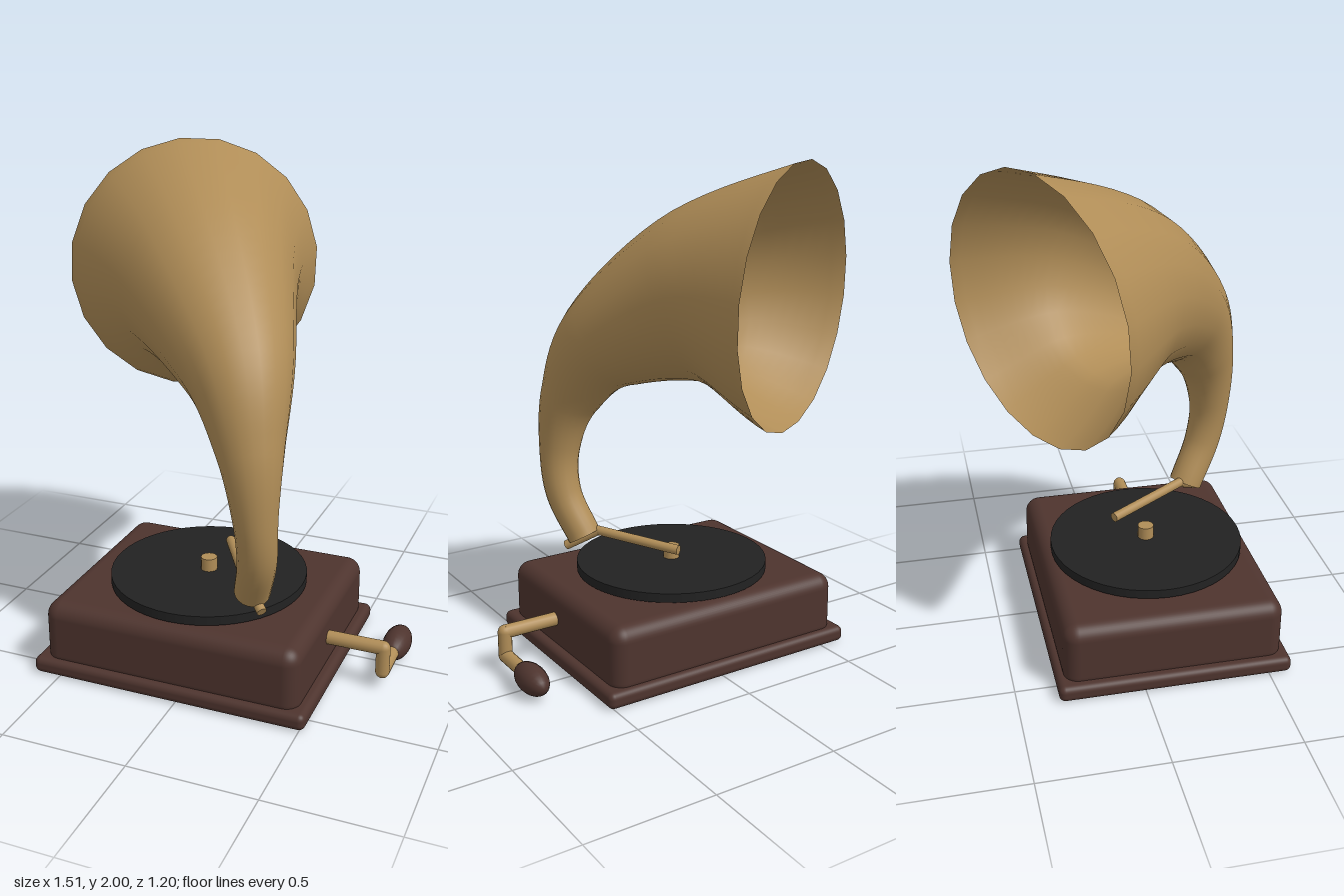
import * as THREE from 'three';
import { RoundedBoxGeometry } from 'three/addons/geometries/RoundedBoxGeometry.js';

const V = (x, y, z) => new THREE.Vector3(x, y, z);

function makeMaterial(name, color, side = THREE.FrontSide) {
  const m = new THREE.MeshStandardMaterial({ color, side });
  m.name = name;
  return m;
}

// Flared horn: round sections swept along a bending path, open at both ends
function hornGeometry() {
  // x, y, z, radius; the last point only steers the direction of the mouth
  const stations = [
    [0.235, 0.42, 0.37, 0.07],
    [0.285, 0.6, 0.455, 0.075],
    [0.285, 0.8, 0.48, 0.087],
    [0.247, 1.03, 0.435, 0.13],
    [0.145, 1.27, 0.29, 0.215],
    [-0.09, 1.465, -0.02, 0.355],
    [-0.3, 1.485, -0.355, 0.517],
    [-0.46, 1.43, -0.69, 0.62],
  ];
  const path = new THREE.CatmullRomCurve3(stations.map(([x, y, z]) => V(x, y, z)), false, 'catmullrom', 0.5);
  const radii = new THREE.CatmullRomCurve3(stations.map((s) => V(s[3], 0, 0)), false, 'catmullrom', 0.5);
  const rings = 48, sides = 20, end = (stations.length - 2) / (stations.length - 1);
  const positions = [], index = [];
  // Sideways axis stays level; its heading follows the sweep of the horn
  for (let i = 0; i <= rings; i++) {
    const f = i / rings, t = f * end;
    const p = path.getPoint(t), r = radii.getPoint(t).x, dir = path.getTangent(t);
    const yaw = 0.62 - 0.145 * f * f;
    const side = V(-Math.cos(yaw), 0, Math.sin(yaw));
    side.addScaledVector(dir, -side.dot(dir)).normalize();
    const up = V(0, 0, 0).crossVectors(side, dir).normalize();
    for (let j = 0; j < sides; j++) {
      const a = ((j + 0.35) / sides) * Math.PI * 2;
      const q = p.clone().addScaledVector(side, Math.cos(a) * r).addScaledVector(up, Math.sin(a) * r);
      positions.push(q.x, q.y, q.z);
      if (i < rings) {
        const k = (j + 1) % sides, b = i * sides, c = b + sides;
        index.push(b + j, b + k, c + j, b + k, c + k, c + j);
      }
    }
  }
  const g = new THREE.BufferGeometry();
  g.setAttribute('position', new THREE.Float32BufferAttribute(positions, 3));
  g.setIndex(index);
  g.computeVertexNormals();
  return g;
}

export function createModel() {
  const model = new THREE.Group();
  model.name = 'hornRecordPlayer';
  const wood = makeMaterial('darkWood', 0x4e342e);
  const brass = makeMaterial('brass', 0xb08d57, THREE.DoubleSide);
  const black = makeMaterial('recordBlack', 0x222222);

  const add = (name, geometry, material, pos = V(0, 0, 0), parent = model) => {
    const mesh = new THREE.Mesh(geometry, material);
    mesh.name = name;
    mesh.position.copy(pos);
    parent.add(mesh);
    return mesh;
  };
  // Round bar between two points
  const rod = (name, a, b, r, parent) => {
    const d = b.clone().sub(a);
    const mesh = add(name, new THREE.CylinderGeometry(r, r, d.length(), 16), brass, a.clone().lerp(b, 0.5), parent);
    mesh.quaternion.setFromUnitVectors(V(0, 1, 0), d.normalize());
  };
  // Chain of bars with rounded joints
  const bentRod = (name, points, r) => {
    const group = new THREE.Group();
    group.name = name;
    model.add(group);
    for (let i = 0; i < points.length - 1; i++) {
      rod(name + 'Bar', points[i], points[i + 1], r, group);
      if (i > 0) add(name + 'Joint', new THREE.SphereGeometry(r, 16, 12), brass, points[i], group);
    }
  };

  // Wooden case
  const cx = -0.045, cz = 0.125;
  add('plinth', new RoundedBoxGeometry(1.13, 0.066, 0.93, 4, 0.025), wood, V(cx, 0.033, cz));
  add('case', new RoundedBoxGeometry(1.055, 0.28, 0.875, 5, 0.06), wood, V(cx, 0.16, cz));

  // Turntable
  add('turntableHub', new THREE.CylinderGeometry(0.1, 0.1, 0.03, 24), black, V(cx, 0.305, cz));
  add('record', new THREE.CylinderGeometry(0.397, 0.397, 0.037, 48), black, V(cx, 0.3285, cz));
  add('spindle', new THREE.CylinderGeometry(0.033, 0.033, 0.06, 16), brass, V(cx, 0.37, cz));

  // Horn and tone arm
  add('horn', hornGeometry(), brass);
  bentRod('toneArm', [V(0, 0.425, 0), V(0.19, 0.447, 0.33), V(0.295, 0.372, 0.425)], 0.02);

  // Crank with wooden grip
  bentRod('crank', [V(0.45, 0.172, 0.178), V(0.705, 0.172, 0.178), V(0.705, 0.07, 0.178), V(0.705, 0.07, -0.02)], 0.028);
  const grip = add('crankGrip', new THREE.SphereGeometry(1, 20, 14), wood, V(0.705, 0.068, -0.055));
  grip.rotation.x = Math.PI / 2;
  grip.scale.set(0.056, 0.106, 0.058);

  return model;
}
